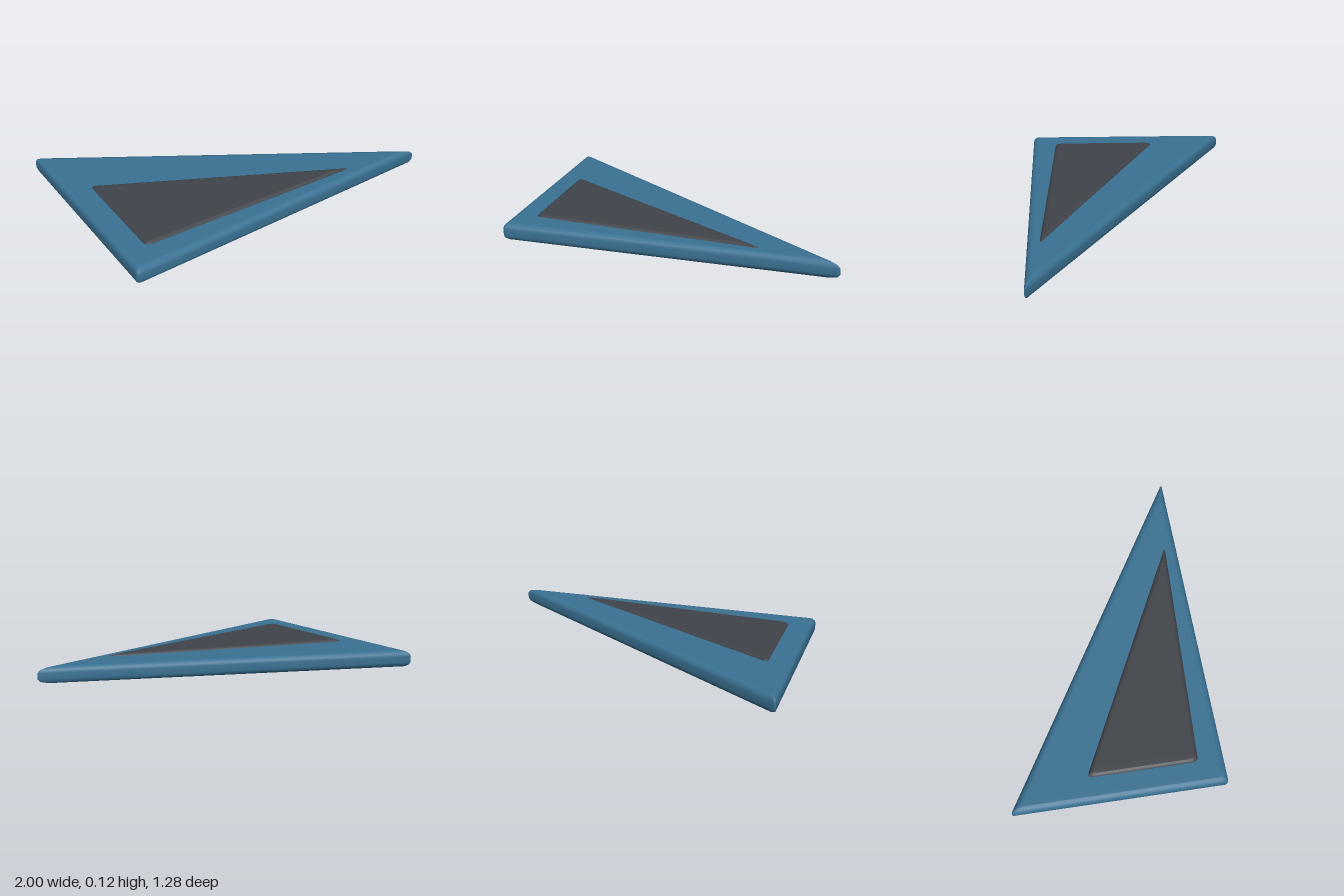
import * as THREE from 'three';

// Ring of a triangle (x, z corners) moved inwards by d, with small rounded corners.
function triangleRing(corners, d, round, steps = 4) {
  const pts = corners.map(([x, z]) => new THREE.Vector2(x, z));
  const inset = pts.map((p, i) => {
    const u = pts[(i + 2) % 3].clone().sub(p).normalize();
    const v = pts[(i + 1) % 3].clone().sub(p).normalize();
    return u.clone().add(v).multiplyScalar(d / Math.abs(u.cross(v))).add(p);
  });
  return inset.flatMap((p, i) => {
    const toward = (q) => q.clone().sub(p).setLength(round).add(p);
    const a = toward(inset[(i + 2) % 3]);
    const b = toward(inset[(i + 1) % 3]);
    return new THREE.QuadraticBezierCurve(a, p, b).getPoints(steps);
  });
}

// Plate lofted through [inset, y] levels from bottom to top, with flat caps.
function triangularPlate(corners, levels, round) {
  const rings = levels.map(([d, y]) =>
    triangleRing(corners, d, round).map((p) => [p.x, y, p.y]));
  const n = rings[0].length;
  const last = rings.length - 1;
  const positions = [...rings, rings[0], rings[last]].flat(2);
  const index = [];
  for (let r = 0; r < last; r++) {
    for (let i = 0; i < n; i++) {
      const a = r * n + i;
      const b = r * n + ((i + 1) % n);
      index.push(a, b, b + n, a, b + n, a + n);
    }
  }
  // Caps own their vertices so their rims stay crisp.
  const bottom = (last + 1) * n;
  const top = bottom + n;
  for (let i = 1; i < n - 1; i++) {
    index.push(bottom, bottom + i + 1, bottom + i);
    index.push(top, top + i, top + i + 1);
  }
  const geometry = new THREE.BufferGeometry();
  geometry.setAttribute('position', new THREE.Float32BufferAttribute(positions, 3));
  geometry.setIndex(index);
  geometry.computeVertexNormals();
  return geometry;
}

function addPart(group, name, geometry, color) {
  const mesh = new THREE.Mesh(geometry, new THREE.MeshStandardMaterial({ color }));
  mesh.name = name;
  group.add(mesh);
}

export function createModel() {
  const group = new THREE.Group();
  group.name = 'triangularPanel';

  // Body: thick triangle with rounded upper and lower edges
  const height = 0.106;
  const bevel = 0.034;
  const levels = [];
  for (let i = 0; i <= 3; i++) {
    const a = (i / 3) * Math.PI / 2;
    levels.push([bevel * (1 - Math.sin(a)), bevel * (1 - Math.cos(a))]);
  }
  levels.push(...levels.map(([d, y]) => [d, height - y]).reverse());
  addPart(group, 'body',
    triangularPlate([[-1, -0.655], [-1, 0.638], [1.01, 0.577]], levels, 0.022), 0x3a7192);

  // Pad: thin raised triangle with a sloping rim
  addPart(group, 'pad',
    triangularPlate([[-0.855, -0.185], [-0.855, 0.478], [0.545, 0.518]],
      [[0, height - 0.01], [0, height], [0.009, 0.113], [0.02, 0.118]], 0.035), 0x404349);

  return group;
}
